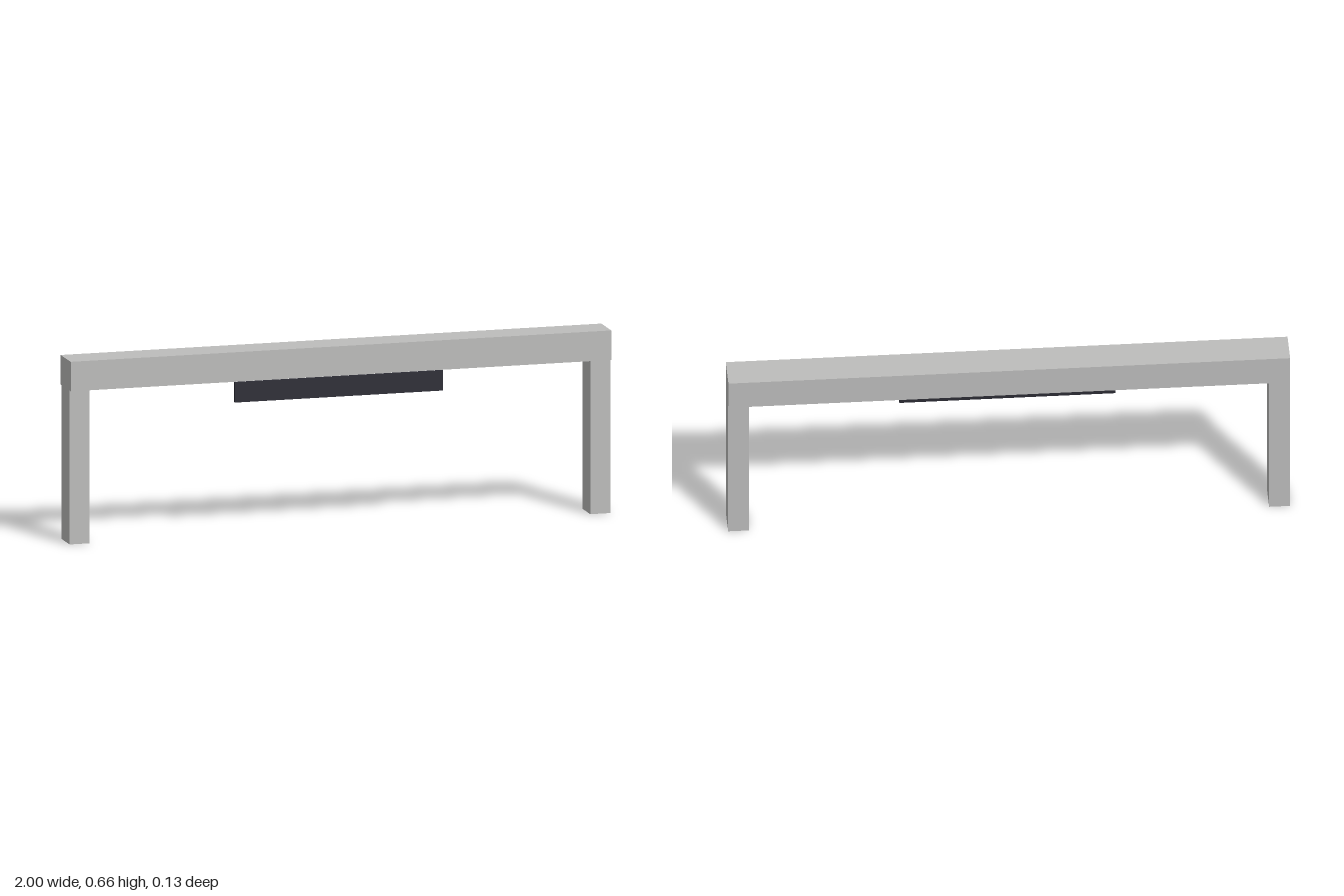
import * as THREE from 'three';

const steel = new THREE.MeshStandardMaterial({ color: 0xbdbdbc, side: THREE.DoubleSide });
steel.name = 'light grey';
const dark = new THREE.MeshStandardMaterial({ color: 0x2b2b34 });
dark.name = 'charcoal';

// Box given by its limits on each axis
function box(name, [x0, x1], [y0, y1], [z0, z1], material) {
  const mesh = new THREE.Mesh(new THREE.BoxGeometry(x1 - x0, y1 - y0, z1 - z0), material);
  mesh.position.set((x0 + x1) / 2, (y0 + y1) / 2, (z0 + z1) / 2);
  mesh.name = name;
  return mesh;
}

// Remove the top and bottom faces, leaving an open square tube
function openEnds(mesh) {
  const g = mesh.geometry;
  const index = Array.from(g.index.array);
  g.setIndex([...index.slice(0, 12), ...index.slice(24)]);
  g.clearGroups();
  return mesh;
}

export function createModel() {
  const model = new THREE.Group();
  model.name = 'gantry';

  // Crossbeam
  model.add(box('crossbeam', [-1, 1], [0.557, 0.664], [-0.064, 0.064], steel));

  // Hollow legs, flush with the beam ends
  const legY = [0, 0.557], legZ = [-0.051, 0.051];
  model.add(openEnds(box('leftLeg', [0.926, 1], legY, legZ, steel)));
  model.add(openEnds(box('rightLeg', [-1, -0.926], legY, legZ, steel)));

  // Thin sign panel hanging just under the beam
  model.add(box('signPanel', [-0.385, 0.385], [0.476, 0.549], [0.027, 0.037], dark));

  return model;
}
